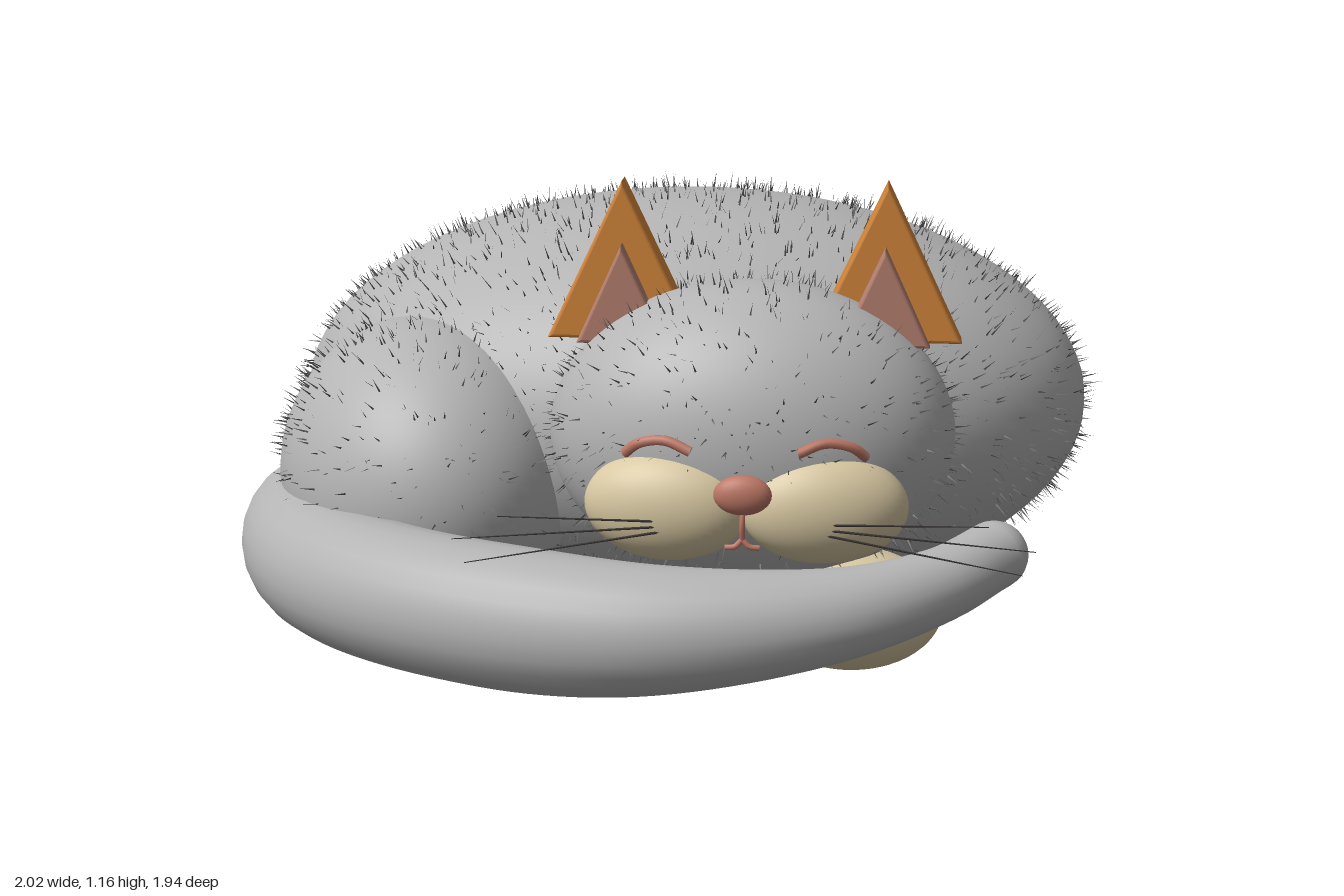
import * as THREE from 'three';

const mat = (name, color, side = THREE.FrontSide) => {
  const m = new THREE.MeshStandardMaterial({ color, side });
  m.name = name;
  return m;
};

export function createModel() {
  const grey = mat('grey coat', 0xb4b4b4);
  const hair = mat('dark fur', 0x5c5c5c, THREE.DoubleSide);
  const cream = mat('cream', 0xd8c8a2);
  const orange = mat('orange ear', 0xd2853a);
  const pink = mat('inner ear pink', 0xb5806f);
  const rose = mat('rose', 0xbd7765);
  const dark = mat('whisker dark', 0x3a3634);

  const root = new THREE.Group();
  root.name = 'sleepingCat';
  const V = (x, y, z) => new THREE.Vector3(x, y, z);
  const add = (name, geo, material, parent = root) => {
    const m = new THREE.Mesh(geo, material);
    m.name = name;
    parent.add(m);
    return m;
  };

  let seed = 7;
  const rnd = () => (seed = (seed * 16807) % 2147483647) / 2147483647;

  const ellipsoid = (name, c, r, material, yaw = 0, seg = 48) => {
    const geo = new THREE.SphereGeometry(1, seg, seg * 0.67 | 0).scale(...r);
    const m = add(name, geo, material);
    m.position.set(...c);
    m.rotation.y = yaw;
    return m;
  };

  // Short fine blades scattered over an ellipsoid, leaning off its normal
  const fur = (name, c, r, yaw, count) => {
    const pos = [];
    const biggest = r[0] * r[2];
    while (pos.length < count * 9) {
      const y = rnd() * 2 - 1, a = rnd() * Math.PI * 2, s = Math.sqrt(1 - y * y);
      const u = V(s * Math.cos(a), y, s * Math.sin(a));
      const n = V(u.x / r[0], u.y / r[1], u.z / r[2]);
      // keep the density even over the surface
      if (rnd() > n.length() * r[0] * r[1] * r[2] / (biggest * 1.02)) continue;
      n.normalize();
      const p = V(u.x * r[0], u.y * r[1], u.z * r[2]);
      const lean = V(rnd() - 0.5, rnd() - 0.5, rnd() - 0.5);
      const side = n.clone().cross(lean).normalize().multiplyScalar(0.0022);
      const tip = p.clone().addScaledVector(n.clone().addScaledVector(lean, 0.8), 0.018 + 0.016 * rnd());
      pos.push(...p.clone().add(side).toArray(), ...p.clone().sub(side).toArray(), ...tip.toArray());
    }
    const geo = new THREE.BufferGeometry();
    geo.setAttribute('position', new THREE.Float32BufferAttribute(pos, 3));
    geo.computeVertexNormals();
    const m = add(name, geo, hair);
    m.position.set(...c);
    m.rotation.y = yaw;
  };

  // Furry masses: name, centre, radii, yaw, blade count
  for (const [name, c, r, yaw, count] of [
    ['body', [0.03, 0.52, -0.27], [0.94, 0.49, 0.68], 0, 4500],
    ['haunch', [-0.55, 0.41, 0.12], [0.35, 0.36, 0.438], 0.314, 900],
    ['head', [0.215, 0.61, 0.52], [0.435, 0.33, 0.29], 0, 1100],
  ]) {
    ellipsoid(name, c, r, grey, yaw, 64);
    fur(name + 'Fur', c, r, yaw, count);
  }

  // Paw tucked under the chin
  ellipsoid('paw', [0.43, 0.24, 0.58], [0.2, 0.13, 0.17], cream);

  // Tapered tail wrapped around the front
  const path = new THREE.CatmullRomCurve3([
    V(-0.8, 0.25, -0.25), V(-0.85, 0.25, 0.08), V(-0.73, 0.25, 0.42), V(-0.43, 0.25, 0.68),
    V(0, 0.25, 0.81), V(0.4, 0.27, 0.74), V(0.62, 0.3, 0.6), V(0.74, 0.33, 0.46),
  ]);
  const steps = 64, sides = 24;
  const tail = new THREE.TubeGeometry(path, steps, 1, sides);
  const radiusAt = t => 0.155 - 0.08 * THREE.MathUtils.smoothstep(t, 0.5, 1.0);
  const tp = tail.attributes.position;
  for (let i = 0; i <= steps; i++) {
    const c = path.getPointAt(i / steps);
    for (let j = 0; j <= sides; j++) {
      const k = i * (sides + 1) + j;
      const v = V().fromBufferAttribute(tp, k).sub(c).multiplyScalar(radiusAt(i / steps)).add(c);
      tp.setXYZ(k, v.x, v.y, v.z);
    }
  }
  add('tail', tail, grey);
  ellipsoid('tailTip', [0.74, 0.33, 0.46], [0.075, 0.075, 0.075], grey, 0, 24);
  const cap = add('tailEnd', new THREE.CircleGeometry(0.155, sides), grey);
  cap.position.copy(path.getPointAt(0));
  cap.lookAt(path.getPointAt(0).sub(path.getTangentAt(0)));

  // Bevelled triangular slab standing on y = 0.8
  const slab = (name, x, half, height, z0, z1, material) => {
    const b = 0.01;
    const s = new THREE.Shape();
    s.moveTo(-half + 2 * b, b);
    s.lineTo(half - 2 * b, b);
    s.lineTo(0, height - 2 * b);
    s.closePath();
    const geo = new THREE.ExtrudeGeometry(s, {
      depth: z1 - z0 - 2 * b, bevelEnabled: true, bevelSize: b, bevelThickness: b, bevelSegments: 3,
    });
    add(name, geo, material).position.set(x, 0.8, z0 + b);
  };

  const tube = (name, pts, r, material) =>
    add(name, new THREE.TubeGeometry(new THREE.CatmullRomCurve3(pts), 16, r, 8), material);

  // Mirrored face parts about the head's centre line
  const cx = 0.215;
  for (const [s, side] of [[-1, 'right'], [1, 'left']]) {
    slab(side + 'Ear', cx + s * 0.283, 0.17, 0.35, 0.41, 0.495, orange);
    slab(side + 'InnerEar', cx + s * 0.28, 0.105, 0.22, 0.495, 0.55, pink);
    ellipsoid(side + 'Muzzle', [cx + s * 0.165, 0.505, 0.75], [0.175, 0.117, 0.09], cream, s * 0.15);

    // Closed eye
    tube(side + 'Eye', [
      V(cx + s * 0.25, 0.618, 0.765), V(cx + s * 0.22, 0.643, 0.782),
      V(cx + s * 0.165, 0.653, 0.795), V(cx + s * 0.11, 0.633, 0.808),
    ], 0.011, rose);

    // Mouth curl
    tube(side + 'Mouth', [
      V(cx, 0.462, 0.85), V(cx + s * 0.015, 0.447, 0.852), V(cx + s * 0.035, 0.444, 0.85),
    ], 0.006, rose);

    // Whiskers
    for (const [y0, x1, y1] of [[0.49, 0.5, 0.51], [0.48, 0.595, 0.46], [0.47, 0.57, 0.41]]) {
      const a = V(cx + s * 0.16, y0, 0.83), b = V(cx + s * x1, y1, 0.89);
      const w = add(side + 'Whisker', new THREE.CylinderGeometry(0.001, 0.003, a.distanceTo(b), 5), dark);
      w.position.copy(a).lerp(b, 0.5);
      w.quaternion.setFromUnitVectors(V(0, 1, 0), b.clone().sub(a).normalize());
    }
  }

  // Nose and the line below it
  ellipsoid('nose', [cx, 0.555, 0.85], [0.06, 0.042, 0.028], rose, 0, 24);
  tube('mouthLine', [V(cx, 0.53, 0.85), V(cx, 0.495, 0.858), V(cx, 0.46, 0.85)], 0.006, rose);

  return root;
}
